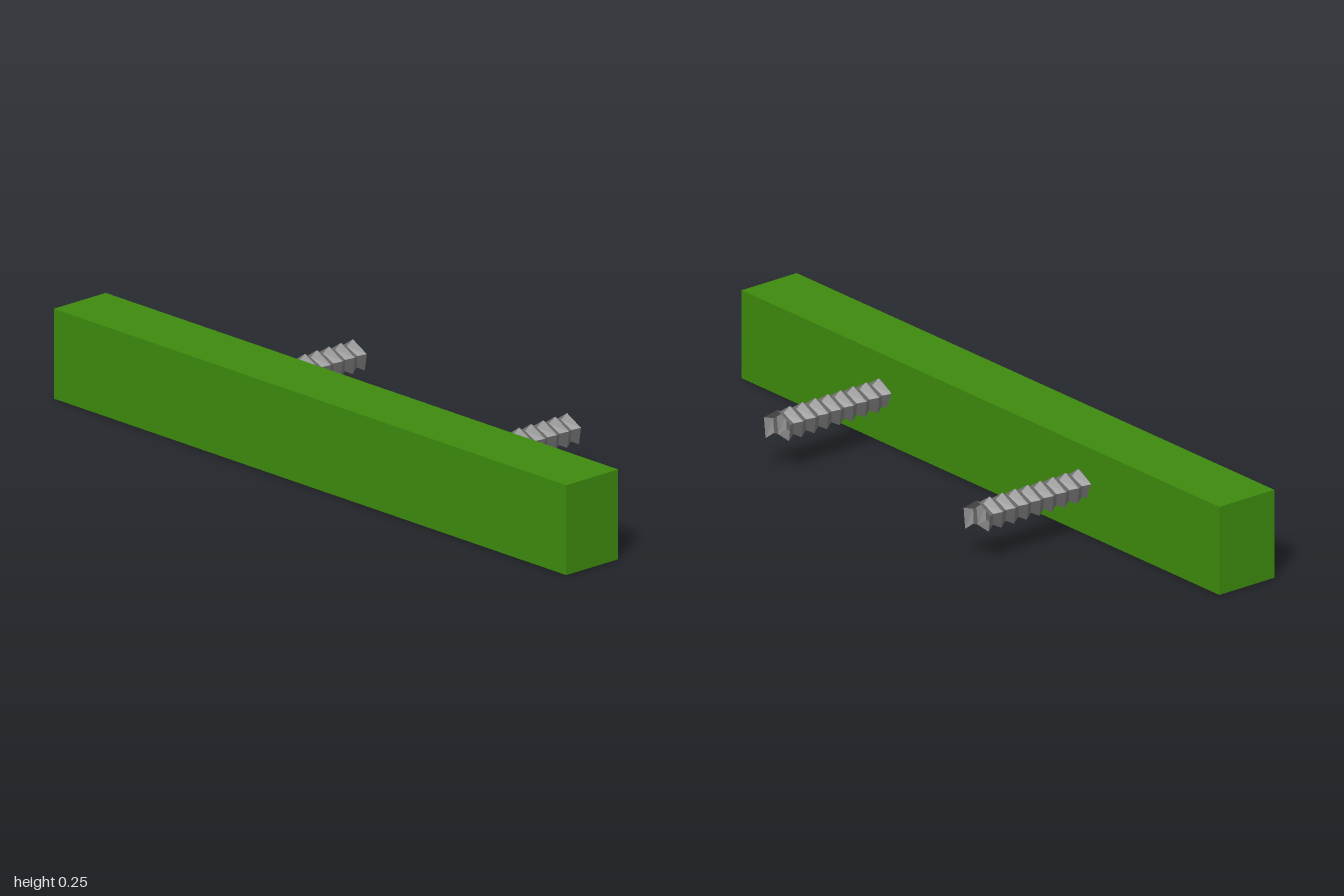
import * as THREE from 'three';

const PITCH = 0.044, SIDES = 5, R_OUT = 0.0475, R_IN = 0.033;

// Five-sided helical strip with a V-shaped thread, open at its ends
function threadGeometry(zEnd, zStart) {
  const step = PITCH / SIDES;
  const count = Math.round((zStart - zEnd) / step);
  const pos = [], idx = [];
  for (let j = 0; j <= count; j++) {
    const a = THREE.MathUtils.degToRad(-54 + 72 * j);
    const z = zEnd + j * step;
    // crest, root, next crest
    [[R_OUT, 0], [R_IN, PITCH / 2], [R_OUT, PITCH]].forEach(([r, dz]) =>
      pos.push(r * Math.cos(a), r * Math.sin(a), z + dz));
    if (j === count) continue;
    for (let k = 0; k < 2; k++) {
      const p = j * 3 + k, q = p + 3;
      idx.push(p, q, q + 1, p, q + 1, p + 1);
    }
  }
  const indexed = new THREE.BufferGeometry();
  indexed.setAttribute('position', new THREE.Float32BufferAttribute(pos, 3));
  indexed.setIndex(idx);
  const geo = indexed.toNonIndexed();
  geo.computeVertexNormals();
  return geo;
}

export function createModel() {
  const green = new THREE.MeshStandardMaterial({ color: 0x3d8a0d });
  green.name = 'green';
  const grey = new THREE.MeshStandardMaterial({ color: 0x737373, side: THREE.DoubleSide, flatShading: true });
  grey.name = 'grey';

  const group = new THREE.Group();

  // Long bar
  const bar = new THREE.Mesh(new THREE.BoxGeometry(2, 0.254, 0.191), green);
  bar.name = 'bar';
  bar.position.set(0, 0.127, 0.1885);
  group.add(bar);

  // Two screws out of the back
  const thread = threadGeometry(-0.284, 0.1);
  for (const [name, x] of [['leftScrew', 0.418], ['rightScrew', -0.418]]) {
    const screw = new THREE.Mesh(thread, grey);
    screw.name = name;
    screw.position.set(x, 0.1365, 0);
    group.add(screw);
  }
  return group;
}
